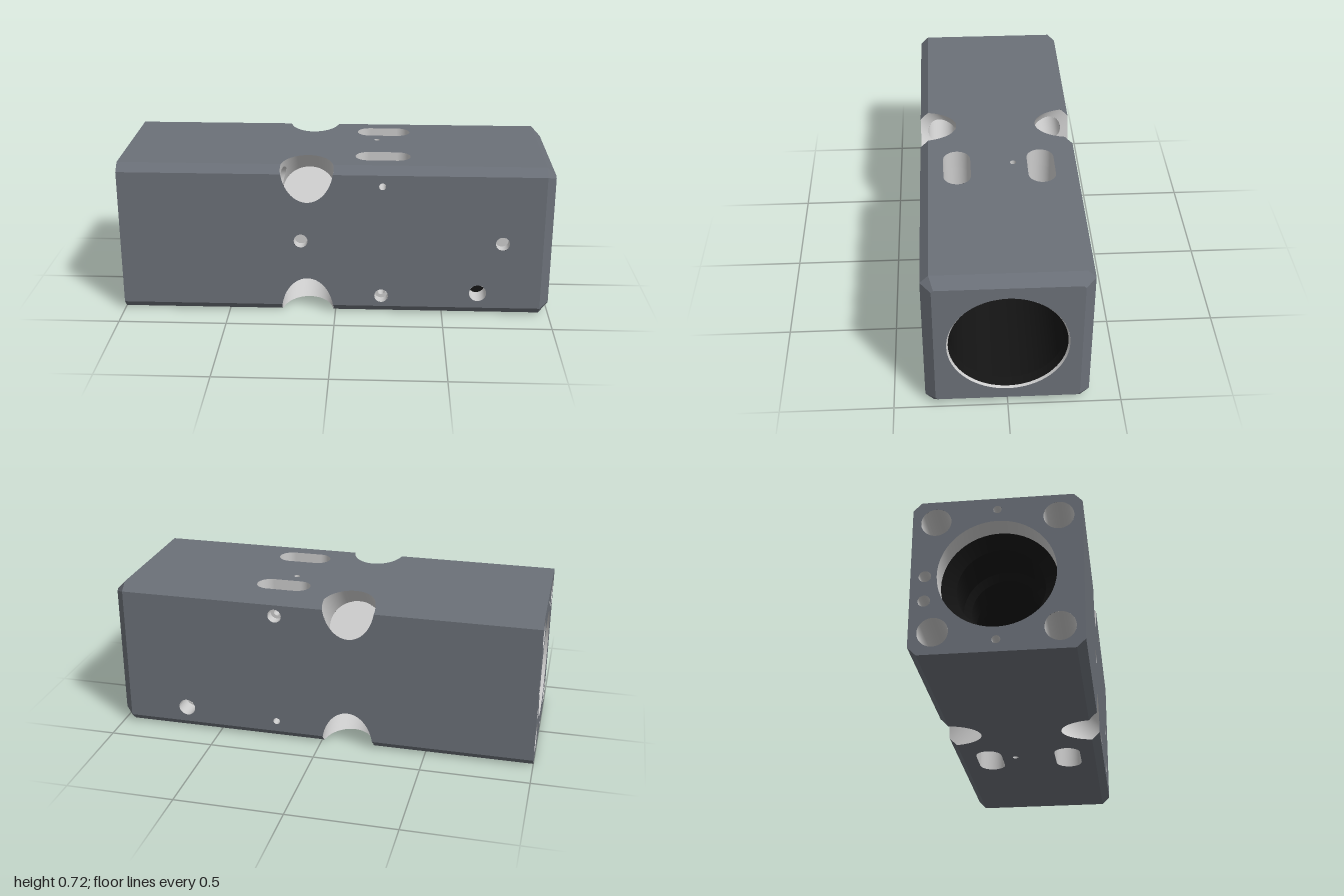
import * as THREE from 'three';

const H = 0.361, C = 0.037, E = H - C;         // half height, edge chamfer, flat half width
const BEV = 0.956;                             // where the bevel of the +x end starts
const PX = -0.13, PR = 0.122, PD = 0.27;       // pocket position, radius, floor distance
const BR = 0.065, BT = 0.368;                  // bolt hole radius and diagonal distance
const SX = 0.215, SZ = 0.1925, SL = 0.1275, SW = 0.0625; // slot centre and half sizes
const R = 0.245;                               // main bore radius
const XY = 0.271, XR = 0.016;                  // cross hole height and radius

const paint = (color) => new THREE.MeshStandardMaterial({ color, side: THREE.DoubleSide });
const bodyMat = paint(0x6b7078), cutMat = paint(0xcccccc), boreMat = paint(0x141414);

function add(parent, name, geo, mat) {
  const mesh = new THREE.Mesh(geo, mat);
  mesh.name = name;
  parent.add(mesh);
  return mesh;
}

// Grid surface from a rule (u, v) -> [x, y, z]
function surface(nu, nv, fn) {
  const geo = new THREE.PlaneGeometry(1, 1, nu, nv), p = geo.attributes.position;
  for (let i = 0; i < p.count; i++) p.setXYZ(i, ...fn(p.getX(i) + 0.5, p.getY(i) + 0.5));
  geo.computeVertexNormals();
  return geo;
}

// Ring surface around the x axis between two radii
const ringX = (x0, r0, x1, r1, y = 0, z = 0, n = 64) => surface(n, 1, (u, v) => {
  const a = u * Math.PI * 2, r = r0 + (r1 - r0) * v;
  return [x0 + (x1 - x0) * v, y + r * Math.cos(a), z + r * Math.sin(a)];
});

// Open tube along z
const tubeZ = (x, y, r, z0, z1) => surface(28, 1, (u, v) => {
  const a = u * Math.PI * 2;
  return [x + r * Math.cos(a), y + r * Math.sin(a), z0 + (z1 - z0) * v];
});

// Half height of a circle of radius r at offset d from its centre
const chord = (r, d) => Math.sqrt(Math.max(0, r * r - d * d));

const circlePath = (x, y, r) => new THREE.Path().absarc(x, y, r, 0, Math.PI * 2, true);

function octagon(h, c) {
  const e = h - c;
  return [[-e, -h], [e, -h], [h, -e], [h, e], [e, h], [-e, h], [-h, e], [-h, -e]]
    .map(([x, y]) => new THREE.Vector2(x, y));
}

function slotPath(cy) {
  const s = SL - SW;
  return new THREE.Path()
    .absarc(SX + s, cy, SW, -Math.PI / 2, Math.PI / 2, false)
    .absarc(SX - s, cy, SW, Math.PI / 2, Math.PI * 1.5, false)
    .lineTo(SX + s, cy - SW);
}

// Flat side with elliptical notches at the pockets
function sideShape() {
  const b = PR * Math.SQRT2, a = Math.asin(C / b);
  return new THREE.Shape()
    .moveTo(-1, E)
    .lineTo(-1, -E)
    .absellipse(PX, -H, PR, b, Math.PI - a, a, true)
    .lineTo(BEV, -E)
    .lineTo(BEV, E)
    .absellipse(PX, H, PR, b, -a, a - Math.PI, true)
    .lineTo(-1, E);
}

// Blind hole in a side, optionally with a smaller pilot hole in its floor
function drill(side, [x, y, r, depth, floorMat = cutMat, pilot = 0]) {
  add(side, 'holeWall', tubeZ(x, y, r, H, H - depth), cutMat);
  const floor = pilot ? new THREE.RingGeometry(pilot, r, 28) : new THREE.CircleGeometry(r, 28);
  add(side, 'holeFloor', floor, floorMat).position.set(x, y, H - depth);
  if (pilot) add(side, 'pilotWall', tubeZ(x, y, pilot, H - depth, SZ + SW), cutMat);
}

function buildSides(g) {
  const counterbored = [SX, -XY, 0.032, 0.05, cutMat, XR];
  const sides = [
    ['frontSide', 0, [counterbored, [0.665, -0.25, 0.04, 0.1, boreMat],
      [-0.16, 0, 0.032, 0.05], [0.77, 0, 0.032, 0.05]]],
    ['topSide', -Math.PI / 2, [[0.185, 0.065, 0.014, 0.06]]],
    ['backSide', Math.PI, [counterbored, [0.665, 0.25, 0.04, 0.1]]],
    ['bottomSide', Math.PI / 2, [[0.185, -0.065, 0.014, 0.06]]],
  ];
  sides.forEach(([name, turn, holes], i) => {
    const side = new THREE.Group(), shape = sideShape();
    side.name = name;
    side.rotation.x = turn;
    holes.forEach((h) => { shape.holes.push(circlePath(h[0], h[1], h[2])); drill(side, h); });
    if (i % 2) [SZ, -SZ].forEach((z) => shape.holes.push(slotPath(z)));
    else {
      // Exit of the cross hole that is counterbored on the opposite side
      shape.holes.push(circlePath(SX, XY, XR));
      add(side, 'crossHole', tubeZ(SX, XY, XR, H, SZ + SW), cutMat);
      add(side, 'crossHole', tubeZ(SX, XY, XR, SZ - SW, SW - SZ), cutMat);
    }
    add(side, 'panel', new THREE.ShapeGeometry(shape, 32), bodyMat).position.z = H;
    g.add(side);
  });
}

// One long edge: chamfer strips, round pocket and bolt hole (local z points out along the diagonal)
function buildEdge(g, turn) {
  const edge = new THREE.Group(), w = C / Math.SQRT2, top = (H + E) / Math.SQRT2;
  edge.name = 'longEdge';
  edge.rotation.x = turn;
  const b = Math.asin(w / PR);
  const left = new THREE.Shape().moveTo(-1, w).lineTo(-1, -w)
    .absarc(PX, 0, PR, Math.PI + b, Math.PI - b, true).lineTo(-1, w);
  const right = new THREE.Shape().moveTo(BEV, -w).lineTo(BEV, w)
    .absarc(PX, 0, PR, b, -b, true).lineTo(BEV, -w);
  for (const s of [left, right]) add(edge, 'chamfer', new THREE.ShapeGeometry(s, 12), bodyMat).position.z = top;

  const rim = (e) => Math.min(H * Math.SQRT2 - Math.abs(e), top);
  const wall = (n, a0, a1, low, high) => surface(n, 1, (u, v) => {
    const a = a0 + (a1 - a0) * u, e = PR * Math.sin(a), lo = low(e);
    return [PX - PR * Math.cos(a), e, lo + (high(e) - lo) * v];
  });
  const a = Math.asin(BR / PR);
  add(edge, 'pocketWall', wall(72, a, Math.PI * 2 - a, () => PD, rim), cutMat);
  add(edge, 'pocketWallBelowBolt', wall(24, -a, a, () => PD, (e) => BT - chord(BR, e)), cutMat);
  add(edge, 'pocketWallAboveBolt', wall(24, -a, a, (e) => BT + chord(BR, e), rim), cutMat);
  add(edge, 'pocketFloor', new THREE.CircleGeometry(PR, 64), cutMat).position.set(PX, 0, PD);
  add(edge, 'boltHole', surface(36, 1, (u, v) => {
    const t = u * Math.PI * 2, e = BR * Math.sin(t), x1 = PX - chord(PR, e);
    return [-1 + (x1 + 1) * v, e, BT + BR * Math.cos(t)];
  }), cutMat);
  g.add(edge);
}

function buildEnds(g) {
  // Plain end with bolt holes and small dowel holes
  const plain = new THREE.Shape(octagon(H, C)), c = BT / Math.SQRT2;
  plain.holes.push(circlePath(0, 0, 0.25));
  for (const z of [-c, c]) for (const y of [-c, c]) plain.holes.push(circlePath(z, y, BR));
  for (const [z, y, r] of [[0, 0.307, 0.018], [0, -0.307, 0.018], [-0.3, 0, 0.026], [-0.3, -0.115, 0.026]]) {
    plain.holes.push(circlePath(z, y, r));
    add(g, 'dowelHole', ringX(-1, r, -0.88, r, y, z, 24), cutMat);
    add(g, 'dowelFloor', ringX(-0.88, r, -0.88, 0, y, z, 24), cutMat);
  }
  const back = add(g, 'plainEnd', new THREE.ShapeGeometry(plain, 32), bodyMat);
  back.position.x = -1;
  back.rotation.y = -Math.PI / 2;

  // Bevelled end
  const outer = octagon(H, C), inner = octagon(0.316, 0.01);
  for (let i = 0; i < 8; i++) {
    const j = (i + 1) % 8;
    add(g, 'endBevel', surface(1, 1, (u, v) => {
      const p = (v ? inner : outer)[u ? j : i];
      return [v ? 1 : BEV, p.y, -p.x];
    }), bodyMat);
  }
  const face = new THREE.Shape(inner);
  face.holes.push(circlePath(0, 0, 0.262));
  const front = add(g, 'bevelledEnd', new THREE.ShapeGeometry(face, 48), bodyMat);
  front.position.x = 1;
  front.rotation.y = Math.PI / 2;
}

function buildBore(g) {
  // Stepped bore as [x, radius] points, leaving out the slotted stretch
  const run = (pts, mat, name) => pts.slice(1).forEach((p, i) => add(g, name, ringX(...pts[i], ...p), mat));
  run([[1, 0.262], [0.99, 0.255]], cutMat, 'boreLip');
  run([[0.99, 0.255], [0.95, R], [SX + SL, R]], boreMat, 'bore');
  run([[SX - SL, R], [-0.35, R], [-0.38, 0.19], [-0.5, 0.19], [-0.52, 0.158], [-0.65, 0.158],
    [-0.67, 0.19], [-0.86, 0.19], [-0.9, 0.25]], boreMat, 'bore');
  run([[-0.9, 0.25], [-1, 0.25]], cutMat, 'counterbore');

  // Slotted stretch: strips of bore left between the slots
  const halfWidth = (x) => chord(SW, Math.max(0, Math.abs(x - SX) - (SL - SW)));
  const strip = (mid, angle) => surface(48, 16, (u, v) => {
    const x = SX - SL * Math.cos(u * Math.PI), a = mid + angle(halfWidth(x)) * (v * 2 - 1);
    return [x, R * Math.cos(a), R * Math.sin(a)];
  });
  const land = (h) => Math.asin((SZ - h) / R);
  const web = (h) => Math.acos(Math.min(1, (SZ + h) / R));
  [0, Math.PI].forEach((m) => add(g, 'boreLand', strip(m, land), boreMat));
  [Math.PI / 2, -Math.PI / 2].forEach((m) => add(g, 'boreWeb', strip(m, web), boreMat));

  // Slot walls, starting at the bore and opened where the cross holes pass
  const n = 200, pts = slotPath(SZ).getSpacedPoints(n);
  const bands = [
    [(p) => chord(R, p.y), (p) => XY - chord(XR, p.x - SX)],
    [(p) => XY + chord(XR, p.x - SX), () => H],
  ];
  for (const sz of [1, -1]) for (const sy of [1, -1]) for (const [low, high] of bands)
    add(g, 'slotWall', surface(n, 1, (u, v) => {
      const p = pts[Math.round(u * n)], y = low(p) + (high(p) - low(p)) * v;
      return [p.x, sy * y, sz * p.y];
    }), cutMat);
}

export function createModel() {
  const model = new THREE.Group(), block = new THREE.Group();
  model.name = 'boredBlock';
  block.name = 'block';
  block.position.y = H;
  buildSides(block);
  for (let k = 0; k < 4; k++) buildEdge(block, Math.PI / 4 + k * Math.PI / 2);
  buildEnds(block);
  buildBore(block);
  model.add(block);
  return model;
}
